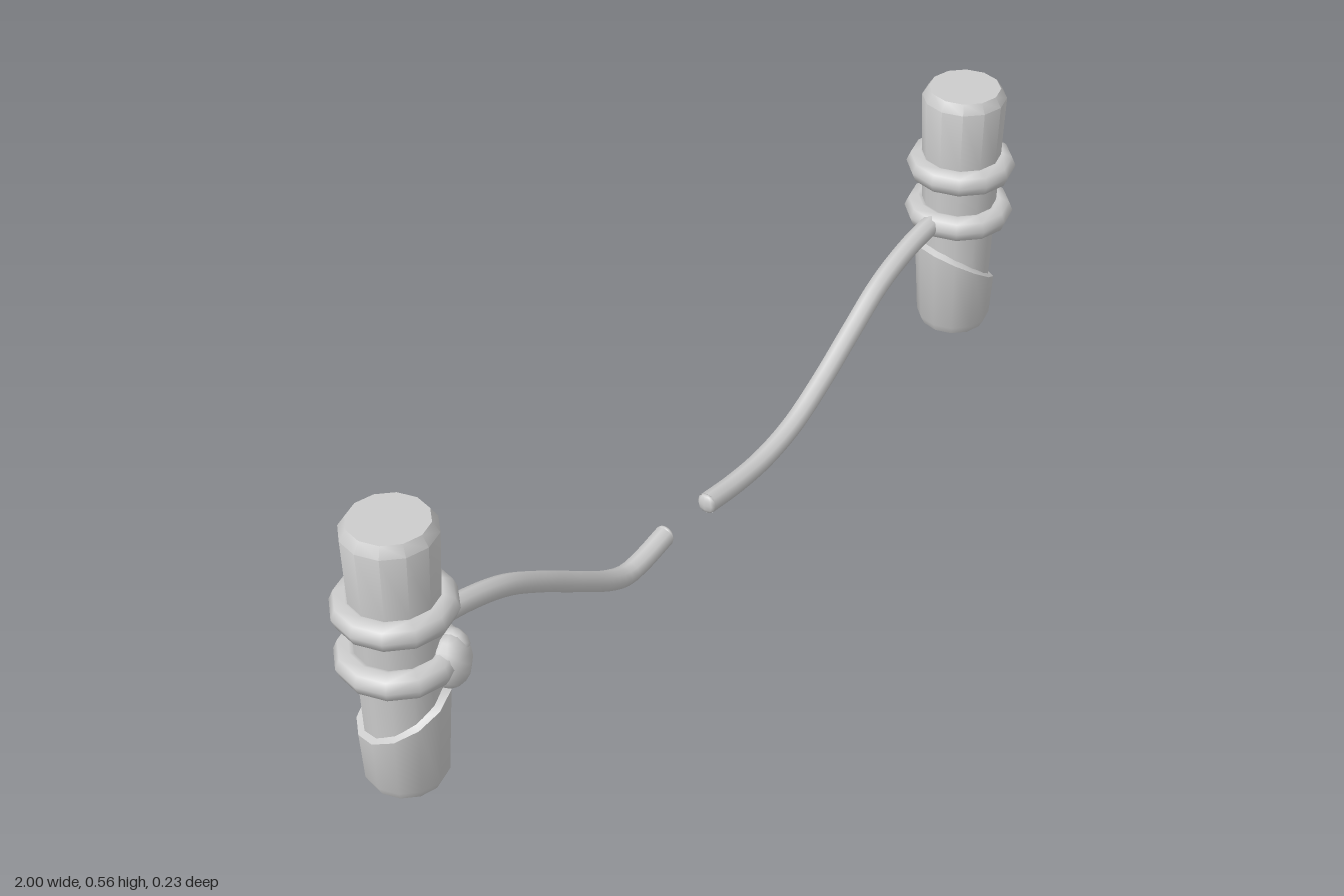
import * as THREE from 'three';
import { toCreasedNormals } from 'three/addons/utils/BufferGeometryUtils.js';

const material = new THREE.MeshStandardMaterial({ color: 0xcccccc, side: THREE.DoubleSide });
const SIDES = 12;
const AXIS_X = 0.887, AXIS_Z = -0.003;

function part(name, geometry, parent) {
  const mesh = new THREE.Mesh(geometry, material);
  mesh.name = name;
  parent.add(mesh);
  return mesh;
}

function lathe(points) {
  return new THREE.LatheGeometry(points.map(([r, y]) => new THREE.Vector2(r, y)), SIDES);
}

// Tapered sleeve whose upper rim follows a height rule around its axis
function sleeveGeometry(rimHeight) {
  const geo = lathe([[0, 0.006], [0.067, 0.006], [0.076, 0.024], [0.087, 0.2], [0.066, 0.21]]);
  const p = geo.attributes.position;
  for (let i = 0; i < p.count; i++) {
    if (p.getY(i) < 0.1) continue;
    const x = p.getX(i), z = p.getZ(i);
    const r = Math.hypot(x, z), c = x / r, s = z / r;
    const h = rimHeight(c, s);
    const outer = 0.076 + 0.011 * (h - 0.024) / 0.176;
    const radius = r > 0.075 ? outer : 0.066;
    p.setXYZ(i, c * radius, r > 0.075 ? h : h + 0.008, s * radius);
  }
  return toCreasedNormals(geo, 0.7);
}

function makePost(name, side, rimHeight) {
  const post = new THREE.Group();
  post.name = name;
  post.position.set(side * AXIS_X, 0, AXIS_Z);

  // Bevelled peg
  const shaft = lathe([[0.067, 0.03], [0.075, 0.25], [0.079, 0.36], [0.081, 0.41],
    [0.086, 0.542], [0.073, 0.562], [0, 0.562]]);
  part('shaft', toCreasedNormals(shaft, 0.7), post);
  part('lowerSleeve', sleeveGeometry(rimHeight), post);

  // Two rings around the peg
  for (const [ringName, y] of [['upperRing', 0.385], ['lowerRing', 0.278]]) {
    const ring = new THREE.TorusGeometry(0.085, 0.027, 8, SIDES);
    ring.rotateX(Math.PI / 2);
    part(ringName, ring, post).position.y = y;
  }
  return post;
}

// Bent cord with rounded end
function makeCord(name, points) {
  const cord = new THREE.Group();
  cord.name = name;
  const path = points.map(([x, y]) => new THREE.Vector3(x, y, -0.01));
  const curve = new THREE.CatmullRomCurve3(path);
  part('cordBody', new THREE.TubeGeometry(curve, 36, 0.021, 8), cord);
  const tip = part('cordTip', new THREE.SphereGeometry(0.021, 8, 6), cord);
  tip.position.copy(path[path.length - 1]);
  tip.scale.x = 0.45;
  return cord;
}

export function createModel() {
  const model = new THREE.Group();
  model.name = 'postsWithCords';

  model.add(makePost('leftPost', 1, (c, s) => 0.15 - 0.05 * c - 0.015 * s));
  model.add(makePost('rightPost', -1, (c, s) => 0.165 + 0.035 * c + 0.025 * s));

  model.add(makeCord('leftCord', [[0.84, 0.279], [0.78, 0.279], [0.7, 0.266], [0.6, 0.232],
    [0.5, 0.172], [0.4, 0.11], [0.3, 0.06], [0.2, 0.036], [0.1, 0.033], [0.008, 0.041]]));
  model.add(makeCord('rightCord', [[-0.84, 0.283], [-0.78, 0.281], [-0.7, 0.266], [-0.6, 0.233],
    [-0.5, 0.177], [-0.4, 0.112], [-0.3, 0.05], [-0.25, 0.031], [-0.2, 0.033], [-0.128, 0.048]]));

  // Knot tied on the front of the right post
  const knot = new THREE.Group();
  knot.name = 'knot';
  knot.position.set(-0.845, 0.27, 0.075);
  part('knotBody', new THREE.SphereGeometry(1, 10, 8), knot).scale.set(0.042, 0.053, 0.038);
  const loop = part('knotLoop', new THREE.SphereGeometry(1, 8, 6), knot);
  loop.scale.set(0.026, 0.03, 0.032);
  loop.position.set(0.016, 0.024, -0.005);
  model.add(knot);

  return model;
}
